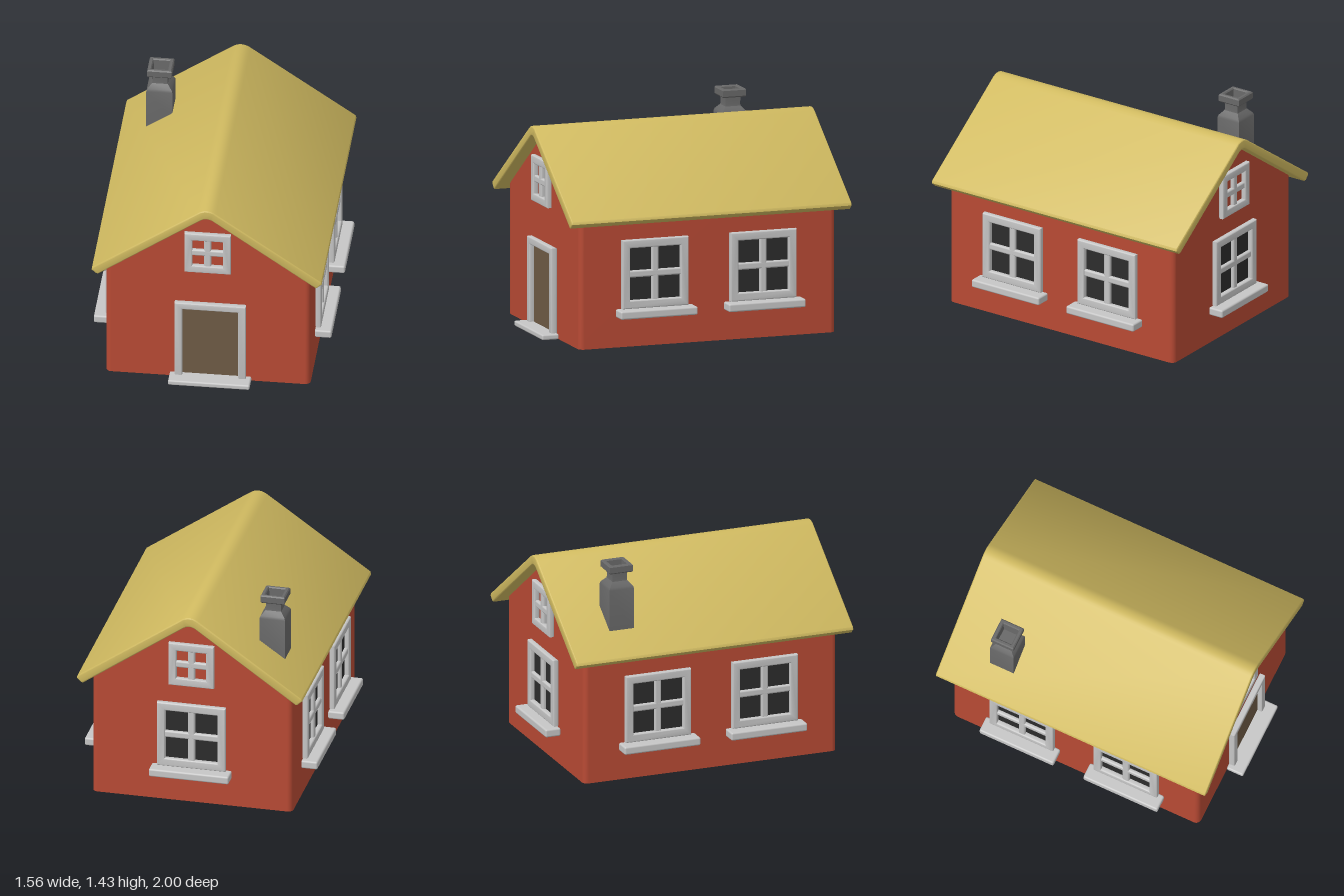
import * as THREE from 'three';
import { toCreasedNormals } from 'three/addons/utils/BufferGeometryUtils.js';
import { RoundedBoxGeometry } from 'three/addons/geometries/RoundedBoxGeometry.js';

const mat = (name, color, side = THREE.FrontSide) => {
  const m = new THREE.MeshStandardMaterial({ color, side });
  m.name = name;
  return m;
};
const red = mat('wall red', 0xb84a34, THREE.DoubleSide);
const straw = mat('roof yellow', 0xd0ba60);
const trim = mat('trim grey', 0xc6c6c6);
const dark = mat('glass dark', 0x2c2c2c);
const brown = mat('door brown', 0x6e5b45);
const stone = mat('chimney grey', 0x686868);

const WX = 0.67, WZ = 0.888, ZC = -0.005; // wall half sizes and depth centre
const FRONT = ZC + WZ, BACK = ZC - WZ;

function add(parent, name, geo, material, x = 0, y = 0, z = 0) {
  const m = new THREE.Mesh(geo, material);
  m.name = name;
  m.position.set(x, y, z);
  parent.add(m);
  return m;
}

// Box with softened edges, placed by its centre
const softBox = (w, h, d) => new RoundedBoxGeometry(w, h, d, 2, Math.min(0.012, h * 0.3));

// Extrusion whose rounded edges stay inside the outline
function extrude(shape, depth, bevel) {
  const geo = new THREE.ExtrudeGeometry(shape, {
    depth: depth - 2 * bevel, bevelEnabled: true, bevelSize: bevel, bevelThickness: bevel,
    bevelOffset: -bevel, bevelSegments: 3, curveSegments: 8,
  });
  geo.translate(0, 0, bevel);
  return toCreasedNormals(geo, 0.7);
}

const polygon = (pts) => new THREE.Shape(pts.map(([x, y]) => new THREE.Vector2(x, y)));
const rect = (w, h, y = 0) => [[-w / 2, y], [w / 2, y], [w / 2, y + h], [-w / 2, y + h]];

// Window facing +z, standing on the origin, with cross bars
function makeWindow(name, w, h, border, glass, sill) {
  const g = new THREE.Group();
  g.name = name;
  const iw = w - 2 * border, ih = h - 2 * border, depth = 0.038;
  const shape = polygon(rect(w, h));
  shape.holes.push(new THREE.Path(polygon(rect(iw, ih, border).reverse()).getPoints()));
  add(g, 'windowFrame', extrude(shape, depth, 0.009), trim);
  add(g, 'verticalBar', softBox(0.047, ih + 0.03, 0.03), trim, 0, h / 2, 0.015);
  add(g, 'horizontalBar', softBox(iw + 0.03, 0.047, 0.03), trim, 0, h / 2, 0.0155);
  if (glass) add(g, 'glass', new THREE.BoxGeometry(iw + 0.02, ih + 0.02, 0.006), dark, 0, h / 2, 0.003);
  if (sill) add(g, 'sill', softBox(0.535, 0.055, sill), trim, 0, -0.0275, sill / 2);
  return g;
}

// Walls: a rounded rectangle raised up to the roof slope, open below
function wallGeometry() {
  const r = 0.035, ring = [], pos = [], idx = [];
  const corners = [[1, 1], [-1, 1], [-1, -1], [1, -1]];
  corners.forEach(([sx, sz], c) => {
    for (let i = 0; i <= 4; i++) {
      const a = (c + i / 4) * Math.PI / 2;
      ring.push([sx * (WX - r) + r * Math.cos(a), sz * (WZ - r) + r * Math.sin(a)]);
    }
    if (c % 2 === 0) ring.push([0, sz * WZ]);
  });
  ring.forEach(([x, z], i) => {
    pos.push(x, 0, z, x, 1.325 - 0.7 * Math.abs(x), z);
    const a = 2 * i, b = 2 * ((i + 1) % ring.length);
    idx.push(a, a + 1, b, b, a + 1, b + 1);
  });
  const geo = new THREE.BufferGeometry();
  geo.setAttribute('position', new THREE.Float32BufferAttribute(pos, 3));
  geo.setIndex(idx);
  geo.computeVertexNormals();
  return geo;
}

// Roof: bent slab with a rounded ridge
function roofGeometry() {
  const s = new THREE.Shape();
  s.moveTo(-0.712, 0.82);
  s.lineTo(-0.05, 1.285);
  s.quadraticCurveTo(0, 1.325, 0.05, 1.285);
  s.lineTo(0.712, 0.82);
  s.lineTo(0.725, 0.822);
  s.lineTo(0.755, 0.85);
  s.lineTo(0.75, 0.868);
  s.lineTo(0.06, 1.348);
  s.quadraticCurveTo(0, 1.391, -0.06, 1.348);
  s.lineTo(-0.75, 0.868);
  s.lineTo(-0.755, 0.85);
  s.lineTo(-0.725, 0.822);
  return extrude(s, 1.945, 0.008);
}

// Chimney: square turned profile, hollow on top, foot cut along the roof
function chimneyGeometry() {
  const cx = -0.483, cz = -0.587;
  const profile = [
    [0.086, 0.96], [0.086, 1.27], [0.08, 1.287], [0.052, 1.318], [0.05, 1.33], [0.05, 1.38],
    [0.074, 1.38], [0.081, 1.388], [0.081, 1.427], [0.074, 1.435], [0.06, 1.435],
    [0.054, 1.428], [0.05, 1.34], [0, 1.34],
  ].map(([r, y]) => new THREE.Vector2(r * Math.SQRT2, y));
  const geo = new THREE.LatheGeometry(profile, 4, Math.PI / 4);
  geo.translate(cx, 0, cz);
  const p = geo.attributes.position;
  for (let i = 0; i < p.count; i++) {
    if (p.getY(i) < 1) p.setY(i, 0.96 + 0.7 * (p.getX(i) + 0.569));
  }
  return toCreasedNormals(geo, 0.5);
}

export function createModel() {
  const house = new THREE.Group();
  house.name = 'house';
  add(house, 'walls', wallGeometry(), red, 0, 0, ZC);
  add(house, 'roof', roofGeometry(), straw, 0, 0, ZC - 0.9725);
  add(house, 'chimney', chimneyGeometry(), stone);

  // Doorway
  const door = new THREE.Group();
  door.name = 'doorway';
  door.position.set(0.0175, 0, FRONT);
  house.add(door);
  const arch = polygon([[-0.234, 0], [-0.183, 0], [-0.183, 0.553], [0.183, 0.553],
    [0.183, 0], [0.234, 0], [0.234, 0.6], [-0.234, 0.6]]);
  add(door, 'doorFrame', extrude(arch, 0.042, 0.009), trim);
  add(door, 'door', new THREE.BoxGeometry(0.38, 0.56, 0.008), brown, 0, 0.28, 0.004);
  const stepDepth = 1 - FRONT;
  add(door, 'doorstep', softBox(0.535, 0.036, stepDepth), trim, 0, 0.018, stepDepth / 2);

  // Side windows
  for (const side of [1, -1]) {
    for (const z of [0.367, -0.383]) {
      const w = makeWindow('sideWindow', 0.46, 0.457, 0.055, true, 0.11);
      w.position.set(side * WX, 0.256, z);
      w.rotation.y = side * Math.PI / 2;
      house.add(w);
    }
  }

  // Back window
  const back = makeWindow('backWindow', 0.46, 0.457, 0.055, true, 1 + BACK);
  back.position.set(0, 0.256, BACK);
  back.rotation.y = Math.PI;
  house.add(back);

  // Attic windows in both gables
  for (const side of [1, -1]) {
    const w = makeWindow('atticWindow', 0.305, 0.303, 0.052, false, 0);
    w.position.set(0, 0.848, side > 0 ? FRONT : BACK);
    w.rotation.y = side > 0 ? 0 : Math.PI;
    house.add(w);
  }
  return house;
}
